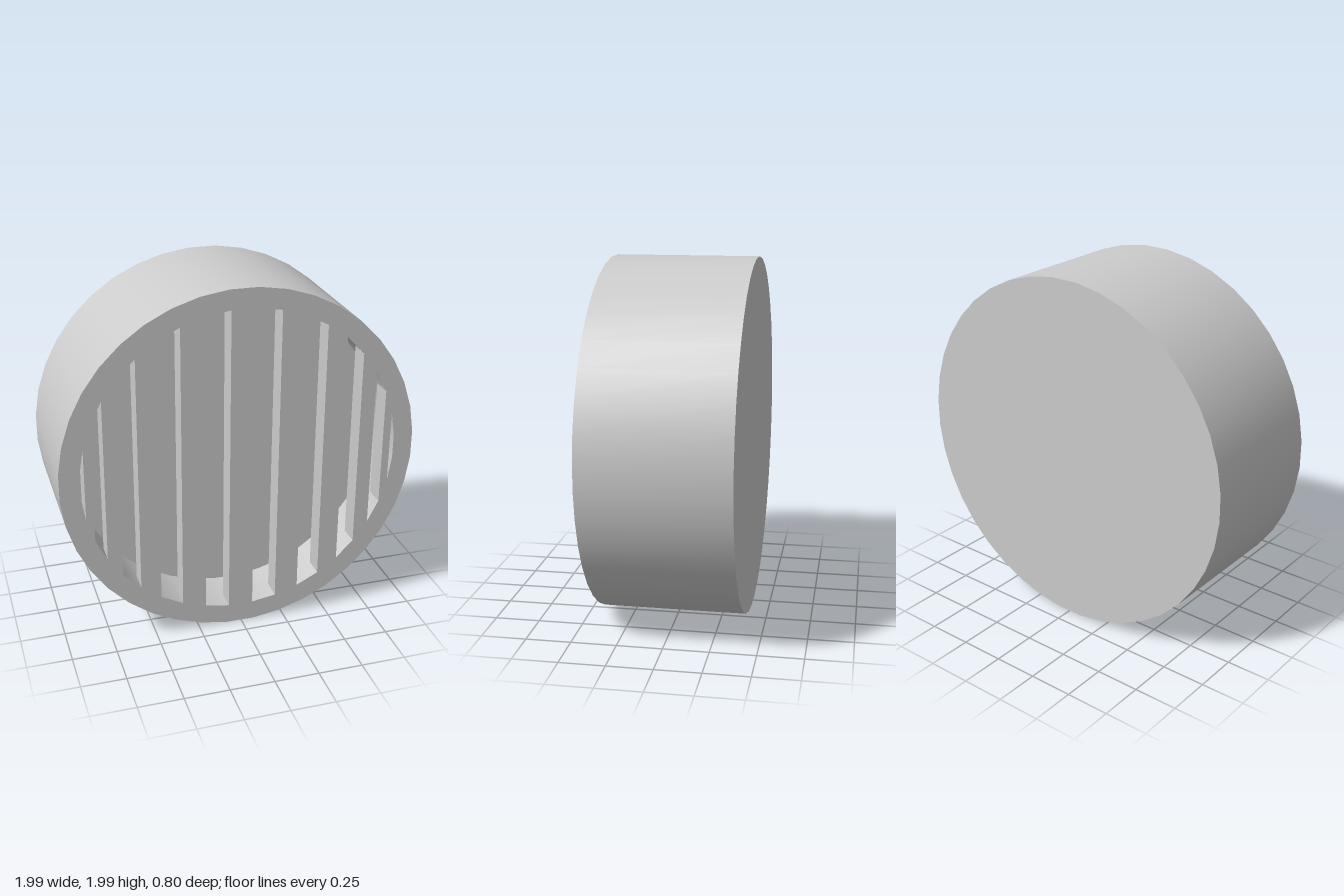
import * as THREE from 'three';
import { toCreasedNormals } from 'three/addons/utils/BufferGeometryUtils.js';

const SIDES = 40;
const STEP = (Math.PI * 2) / SIDES;
const R_OUT = 1, R_IN = 0.888;        // rim radii
const FRONT = 0.4, BACK = -0.4;       // end faces
const FLOOR = 0.1;                    // bottom of the recess
const SLAT_DEPTH = 0.12;

export function createModel() {
  const material = new THREE.MeshStandardMaterial({ color: 0xcccccc });
  const model = new THREE.Group();
  model.name = 'roundVent';

  // Solid drum with a round recess in its front, turned around the z axis
  const profile = [
    [0, BACK], [R_OUT, BACK], [R_OUT, FRONT], [R_IN, FRONT], [R_IN, FLOOR], [0, FLOOR],
  ].map(([r, h]) => new THREE.Vector2(r, h));
  const drum = new THREE.LatheGeometry(profile, SIDES, STEP / 2);
  drum.rotateX(Math.PI / 2);
  const housing = new THREE.Mesh(toCreasedNormals(drum, 0.5), material);
  housing.name = 'housing';
  model.add(housing);

  // Upright slats, each spanning one edge of the recess polygon at top and bottom
  const grille = new THREE.Group();
  grille.name = 'grille';
  for (let i = -4; i <= 4; i++) {
    const a = (i * 2 - 0.5) * STEP, b = (i * 2 + 0.5) * STEP;
    const corner = (t, s) => new THREE.Vector2(R_IN * Math.sin(t), s * R_IN * Math.cos(t));
    const shape = new THREE.Shape([corner(a, -1), corner(b, -1), corner(b, 1), corner(a, 1)]);
    const geometry = new THREE.ExtrudeGeometry(shape, { depth: SLAT_DEPTH, bevelEnabled: false });
    geometry.translate(0, 0, FRONT - SLAT_DEPTH);
    const slat = new THREE.Mesh(geometry, material);
    slat.name = 'slat';
    grille.add(slat);
  }
  model.add(grille);

  // Stand on the ground with a very slight roll
  model.position.y = 1;
  model.rotation.z = -0.005;
  const root = new THREE.Group();
  root.add(model);
  return root;
}
